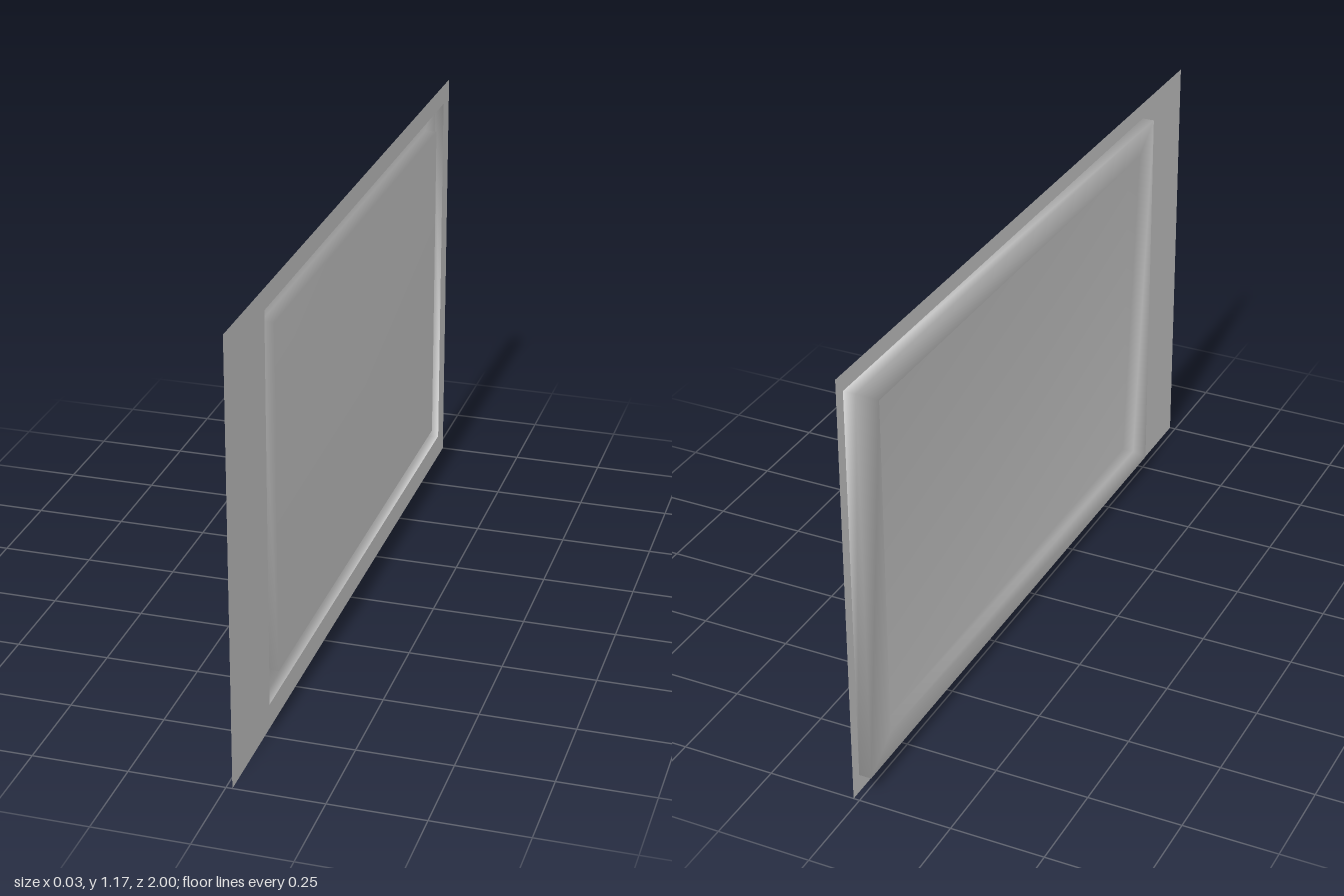
import * as THREE from 'three';

const FRONT = 0.0165, BACK = -0.0165;

// Corners of a rectangle as [z, y], counter-clockwise seen from +x
const rect = (zMax, zMin, yMin, yMax) => [[zMax, yMin], [zMin, yMin], [zMin, yMax], [zMax, yMax]];

// Indexed shell through nested rectangles, closed by a flat panel, smooth normals
function pressedShell(rings) {
  const positions = [], index = [];
  for (const { x, corners } of rings) {
    for (const [z, y] of corners) positions.push(x, y, z);
  }
  for (let r = 0; r < rings.length - 1; r++) {
    for (let i = 0; i < 4; i++) {
      const j = (i + 1) % 4;
      const a = r * 4 + i, b = r * 4 + j, c = b + 4, d = a + 4;
      index.push(a, b, c, a, c, d);
    }
  }
  const last = (rings.length - 1) * 4;
  index.push(last, last + 1, last + 3, last + 1, last + 2, last + 3);
  const geometry = new THREE.BufferGeometry();
  geometry.setAttribute('position', new THREE.Float32BufferAttribute(positions, 3));
  geometry.setIndex(index);
  geometry.computeVertexNormals();
  return geometry;
}

export function createModel() {
  const group = new THREE.Group();
  const material = new THREE.MeshStandardMaterial({ color: 0xcccccc, side: THREE.DoubleSide });
  const add = (name, geometry) => {
    const mesh = new THREE.Mesh(geometry, material);
    mesh.name = name;
    group.add(mesh);
  };

  // Thin backing sheet with a rectangular opening
  const toPoints = corners => corners.map(([z, y]) => new THREE.Vector2(-z, y));
  const sheet = new THREE.Shape(toPoints(rect(1, -1, 0, 1.175)));
  sheet.holes.push(new THREE.Path(toPoints(rect(0.71, -0.94, 0.067, 1.12)).reverse()));
  add('sheet', new THREE.ShapeGeometry(sheet).rotateY(Math.PI / 2).translate(FRONT, 0, 0));

  // Pressed panel: outer wall, sunken border, inner wall and raised centre
  const outer = rect(0.73, -0.968, 0.05, 1.13);
  const inner = rect(0.635, -0.863, 0.12, 1.06);
  add('pressedPanel', pressedShell([
    { x: FRONT, corners: outer },
    { x: BACK, corners: outer },
    { x: BACK, corners: inner },
    { x: FRONT, corners: inner },
  ]));

  return group;
}
